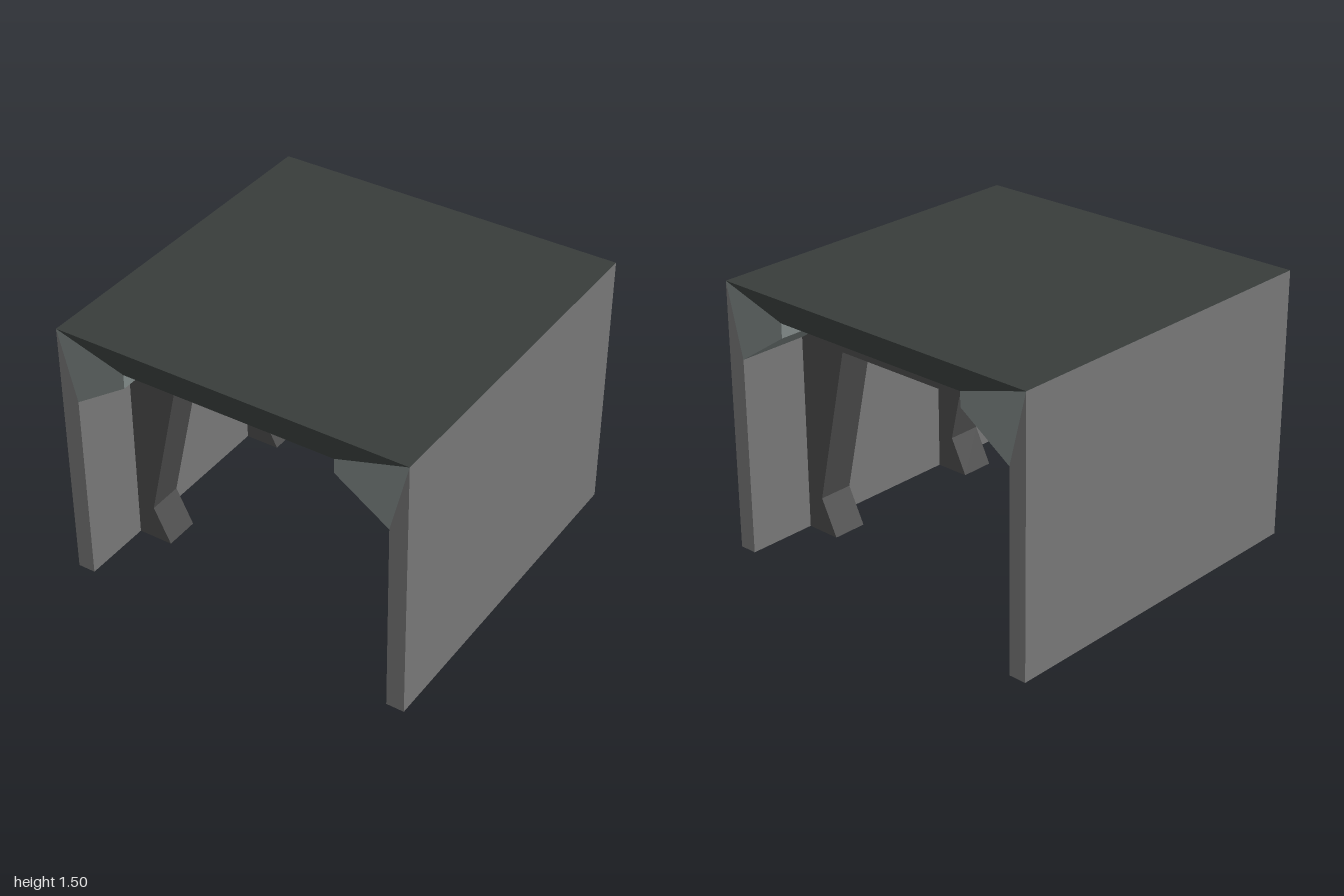
import * as THREE from 'three';

const material = (color) => new THREE.MeshStandardMaterial({ color, flatShading: true });

// Extrude a closed outline, centred on z = 0
function prism(points, depth) {
  const shape = new THREE.Shape(points.map(([x, y]) => new THREE.Vector2(x, y)));
  return new THREE.ExtrudeGeometry(shape, { depth, bevelEnabled: false }).translate(0, 0, -depth / 2);
}

const mirror = (points) => points.map(([x, y]) => [-x, y]).reverse();

export function createModel() {
  const model = new THREE.Group();
  model.name = 'shelter';
  const wallMat = material(0x777777);
  const cornerMat = material(0x7f8887);
  const roofMat = material(0x383d3b);
  const ribMat = material(0x4c4c4c);

  const add = (name, geometry, mat, z = 0) => {
    const mesh = new THREE.Mesh(geometry, mat);
    mesh.name = name;
    mesh.position.z = z;
    model.add(mesh);
  };

  // Side walls and the chamfered corners above them
  const wall = [[0.9, 0], [1, 0], [1, 1.5], [0.9, 1.1]];
  const corner = [[0.9, 1.1], [1, 1.5], [0.6, 1.38], [0.6, 1.3]];
  add('leftWall', prism(wall, 2), wallMat);
  add('rightWall', prism(mirror(wall), 2), wallMat);
  add('leftCorner', prism(corner, 2), cornerMat);
  add('rightCorner', prism(mirror(corner), 2), cornerMat);

  // Roof slab
  add('roof', prism([[-0.6, 1.38], [0.6, 1.38], [1, 1.5], [-1, 1.5]], 2), roofMat);

  // Ceiling slopes down to the ribs and rises between them
  [-1, 1].forEach((side) => {
    const slope = [[0, 1.38], [0.4, 1.3], [0.6, 1.3], [1, 1.38]];
    const outline = side > 0 ? slope : mirror(slope);
    add(side > 0 ? 'frontCeiling' : 'backCeiling', prism(outline, 1.2).rotateY(-Math.PI / 2), roofMat);
  });

  // Arched ribs with flared feet
  const half = [[0.7, 0], [0.9, 0], [0.9, 1.1], [0.6, 1.3]];
  const inner = [[-0.8, 0.2], [-0.6, 1.1], [0.6, 1.1], [0.8, 0.2]];
  const rib = [...half, ...mirror(half), ...inner];
  add('frontRib', prism(rib, 0.2), ribMat, 0.5);
  add('backRib', prism(rib, 0.2), ribMat, -0.5);

  return model;
}
